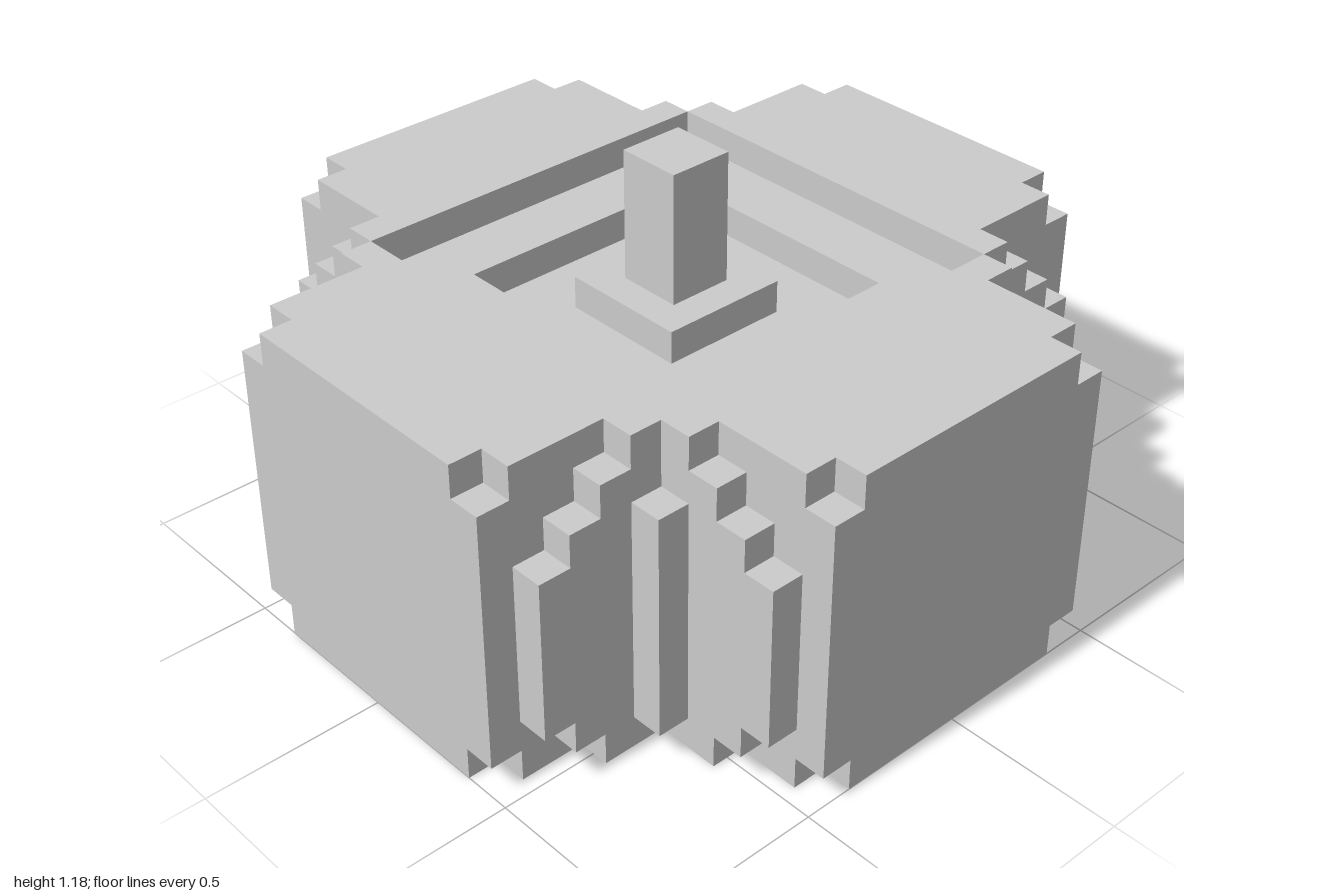
import * as THREE from 'three';

// All sizes are in blocks; 11 blocks = 1 unit.
const BLOCK = 1 / 11;

export function createModel() {
  const model = new THREE.Group();
  model.name = 'blockPumpkin';
  const material = new THREE.MeshStandardMaterial({ color: 0xcccccc, flatShading: true });

  const add = (parent, name, geometry) => {
    const mesh = new THREE.Mesh(geometry, material);
    mesh.name = name;
    parent.add(mesh);
    return mesh;
  };
  const box = (parent, name, x0, x1, y0, y1, z0, z1) =>
    add(parent, name, new THREE.BoxGeometry(x1 - x0, y1 - y0, z1 - z0)
      .translate((x0 + x1) / 2, (y0 + y1) / 2, (z0 + z1) / 2));
  const outline = (points) => new THREE.Shape(points.map(([x, y]) => new THREE.Vector2(x, y)));
  const slab = (shape) => new THREE.ExtrudeGeometry(shape, { depth: 1, bevelEnabled: false });

  // Core and the stepped hollow on top
  box(model, 'core', -6, 6, 0, 8, -6, 6);
  const rim = outline([[-6, -6], [6, -6], [6, 6], [-6, 6]]);
  rim.holes.push(new THREE.Path([[-4, -4], [-4, 4], [4, 4], [4, -4]].map(([x, y]) => new THREE.Vector2(x, y))));
  add(model, 'hollowStep', slab(rim).rotateX(-Math.PI / 2).translate(0, 8, 0));

  // Stem
  box(model, 'stemBase', -2, 2, 8, 9, -2, 2);
  box(model, 'stem', -1, 1, 9, 13, -1, 1);

  // Face panel with notched corners, and stepped rib profile (depth, height)
  const face = outline([
    [-4, 0], [4, 0], [4, 1], [5, 1], [5, 9], [4, 9],
    [4, 10], [-4, 10], [-4, 9], [-5, 9], [-5, 1], [-4, 1],
  ]);
  const rib = outline([
    [6, 0], [8, 0], [8, 1], [9, 1], [9, 2], [10, 2], [10, 7],
    [9, 7], [9, 8], [8, 8], [8, 9], [7, 9], [7, 10], [6, 10],
  ]);

  // Four equal lobes, each with one corner column
  ['front', 'left', 'back', 'right'].forEach((side, i) => {
    const lobe = new THREE.Group();
    lobe.name = side + 'Lobe';
    lobe.rotation.y = i * Math.PI / 2;
    box(lobe, 'lobeBody', -5, 5, 0, 10, 6, 10);
    add(lobe, 'lobeFace', slab(face).translate(0, 0, 10));
    for (const x of [-5, 6]) {
      add(lobe, 'steppedRib', slab(rib).rotateY(-Math.PI / 2).translate(x, 0, 0));
    }
    box(lobe, 'cornerColumn', 6, 7, 1, 8, 6, 7);
    model.add(lobe);
  });

  model.scale.setScalar(BLOCK);
  return model;
}
